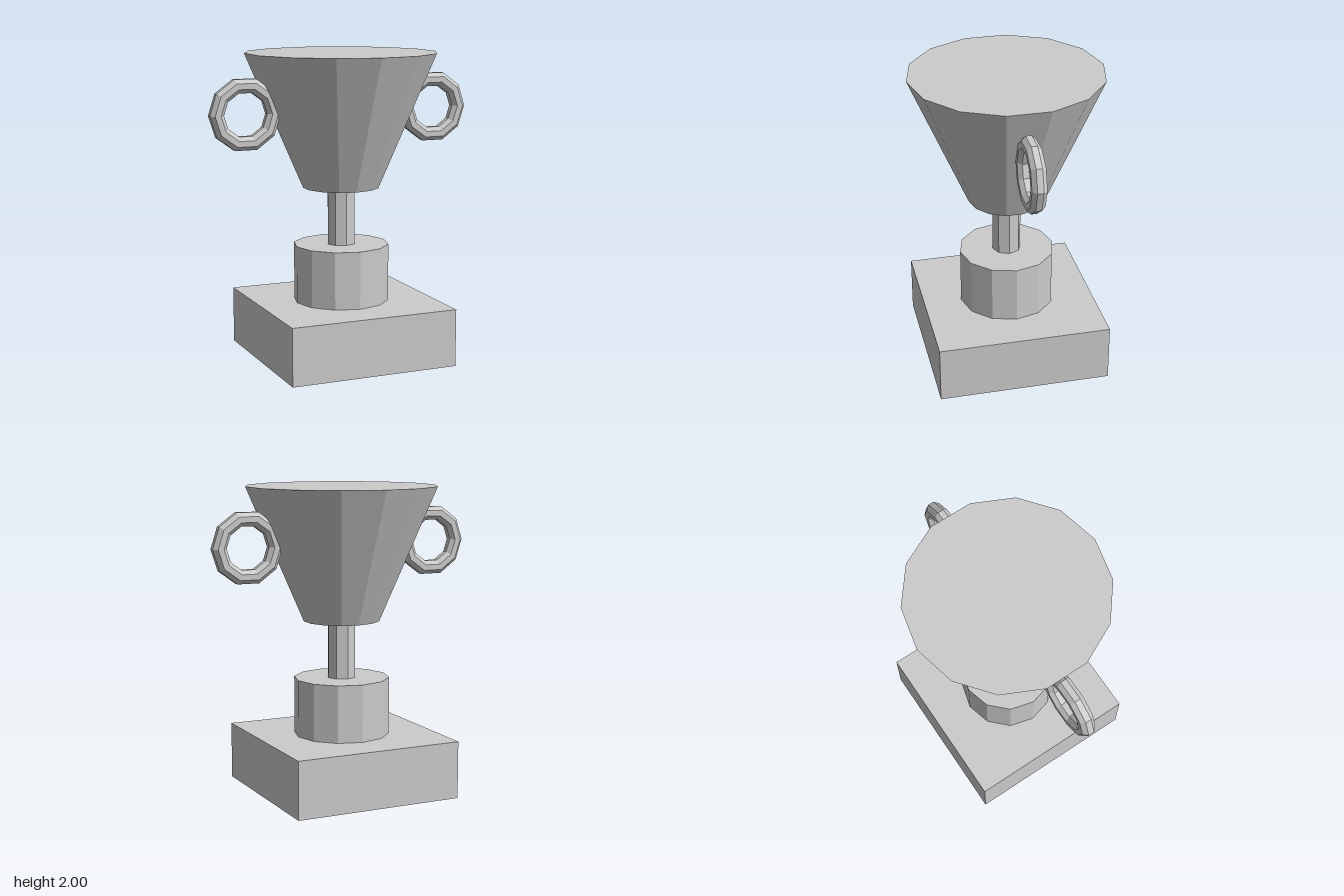
import * as THREE from 'three';

export function createModel() {
  const group = new THREE.Group();
  const material = new THREE.MeshStandardMaterial({ color: 0xcccccc, flatShading: true });

  function add(name, geometry, x, y) {
    const mesh = new THREE.Mesh(geometry, material);
    mesh.name = name;
    mesh.position.set(x, y, 0);
    group.add(mesh);
    return mesh;
  }

  // Square plinth, drum, slender stem and flared solid cup
  add('base', new THREE.BoxGeometry(1.125, 0.375, 1.125), 0, 0.1875);
  add('drum', new THREE.CylinderGeometry(0.3125, 0.3125, 0.375, 12), 0, 0.5625);
  add('stem', new THREE.CylinderGeometry(0.094, 0.094, 0.375, 8), 0, 0.9375);
  add('cup', new THREE.CylinderGeometry(0.625, 0.25, 0.875, 14), 0, 1.5625);

  // Ring handles: an octagonal section with flat sides, swept in ten steps
  const section = [];
  for (let i = 0; i <= 8; i++) {
    const a = (i + 0.5) * Math.PI / 4;
    section.push(new THREE.Vector2(0.189 + 0.05 * Math.cos(a), 0.05 * Math.sin(a)));
  }
  const ring = new THREE.LatheGeometry(section, 10, Math.PI / 2);
  ring.rotateX(Math.PI / 2);
  add('leftHandle', ring, 0.656, 1.625);
  add('rightHandle', ring, -0.656, 1.625);

  return group;
}
